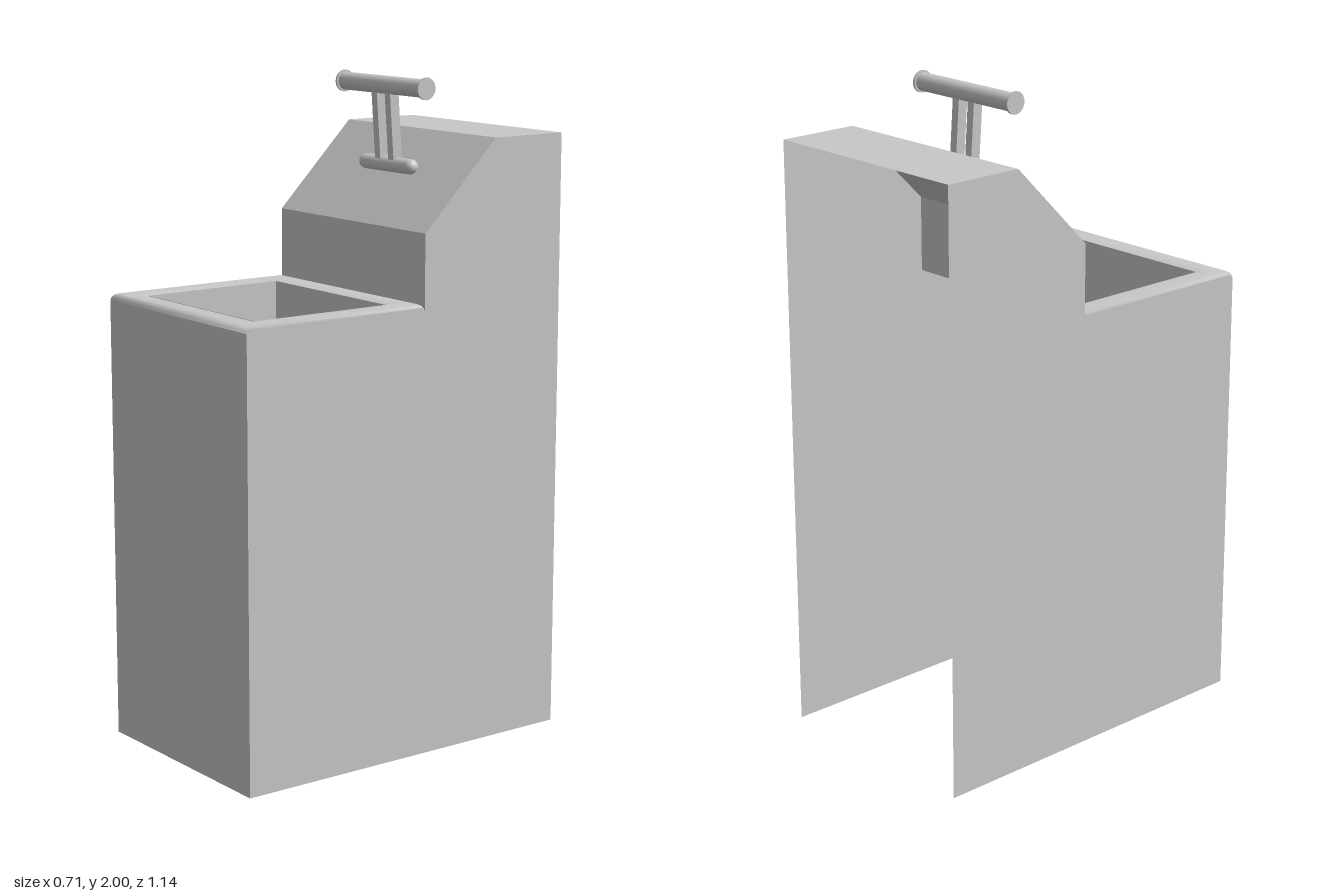
import * as THREE from 'three';

const W = 0.355; // half width of the cabinet

export function createModel() {
  const model = new THREE.Group();
  const grey = new THREE.MeshStandardMaterial({ color: 0xc8c8c8, side: THREE.DoubleSide });
  grey.name = 'light grey';

  const add = (name, geometry) => {
    const mesh = new THREE.Mesh(geometry, grey);
    mesh.name = name;
    model.add(mesh);
    return mesh;
  };

  // Flat sheet across the cabinet width, following [z, y] points
  const sheet = (points) => {
    const pos = [];
    for (let i = 0; i < points.length - 1; i++) {
      const [z0, y0] = points[i], [z1, y1] = points[i + 1];
      pos.push(-W, y0, z0, W, y0, z0, W, y1, z1);
      pos.push(-W, y0, z0, W, y1, z1, -W, y1, z1);
    }
    const g = new THREE.BufferGeometry();
    g.setAttribute('position', new THREE.Float32BufferAttribute(pos, 3));
    g.computeVertexNormals();
    return g;
  };

  // Surface through rectangular rings [x half-width, front z, back z, y]
  const rings = (list, smooth, closeEnd = false) => {
    const pos = [], index = [];
    for (const [x, front, back, y] of list) {
      pos.push(-x, y, front, x, y, front, x, y, back, -x, y, back);
    }
    for (let r = 0; r < list.length - 1; r++) {
      for (let i = 0; i < 4; i++) {
        const a = r * 4 + i, b = r * 4 + (i + 1) % 4;
        index.push(a, b, b + 4, a, b + 4, a + 4);
      }
    }
    if (closeEnd) {
      const e = (list.length - 1) * 4;
      index.push(e, e + 1, e + 2, e, e + 2, e + 3);
    }
    let g = new THREE.BufferGeometry();
    g.setAttribute('position', new THREE.Float32BufferAttribute(pos, 3));
    g.setIndex(index);
    if (!smooth) g = g.toNonIndexed();
    g.computeVertexNormals();
    return g;
  };

  // Side panels, mirrored; the cabinet is open at the back and underneath
  const outline = [[0.57, 0], [0.57, 1.345], [0.555, 1.355], [-0.045, 1.355],
    [-0.055, 1.345], [-0.055, 1.57], [-0.315, 1.83], [-0.57, 1.83], [-0.57, 0]];
  const shape = new THREE.Shape(outline.map(([z, y]) => new THREE.Vector2(z, y)));
  const side = new THREE.ShapeGeometry(shape).rotateY(-Math.PI / 2).translate(-W, 0, 0);
  add('rightPanel', side);
  add('leftPanel', side).scale.x = -1;

  // Front panel, and the riser with sloped face and top
  add('frontPanel', sheet([[0.57, 0], [0.57, 1.345]]));
  add('splashback', sheet([[-0.055, 1.34], [-0.055, 1.57], [-0.315, 1.83], [-0.57, 1.83]]));

  // Softly rounded rim around the basin opening
  const rimSteps = [[0, 1.34], [0.002, 1.352], [0.007, 1.36], [0.016, 1.365], [0.06, 1.365], [0.079, 1.36]];
  add('rim', rings(rimSteps.map(([d, y]) => [W - d, 0.57 - d, -0.055 + d, y]), true));

  // Deep basin with its raised floor
  add('basin', rings([[0.277, 0.487, 0.024, 1.36], [0.277, 0.487, 0.024, 0.03]], false, true));
  add('basinFloor', new THREE.PlaneGeometry(0.552, 0.461).rotateX(-Math.PI / 2).translate(0, 0.52, 0.255));

  // Tap: rounded base, two leaning stems and a crossbar with end caps
  const baseBar = add('tapBase', new THREE.CapsuleGeometry(0.023, 0.214, 8, 20).rotateZ(Math.PI / 2));
  baseBar.position.set(0, 1.73, -0.196);

  const stemBottom = new THREE.Vector3(0, 1.725, -0.197);
  const stemTop = new THREE.Vector3(0, 1.965, -0.18);
  const lean = stemTop.clone().sub(stemBottom);
  for (const s of [-1, 1]) {
    const stem = add(s < 0 ? 'rightStem' : 'leftStem', new THREE.BoxGeometry(0.026, lean.length(), 0.032));
    stem.position.copy(stemBottom).add(stemTop).multiplyScalar(0.5);
    stem.position.x = s * 0.032;
    stem.rotation.x = Math.atan2(lean.z, lean.y);

    const cap = add(s < 0 ? 'rightCap' : 'leftCap', new THREE.CylinderGeometry(0.033, 0.033, 0.007, 28).rotateZ(Math.PI / 2));
    cap.position.set(s * 0.1965, 1.967, -0.18);
  }
  const bar = add('crossbar', new THREE.CylinderGeometry(0.027, 0.027, 0.39, 28).rotateZ(Math.PI / 2));
  bar.position.set(0, 1.967, -0.18);

  return model;
}
